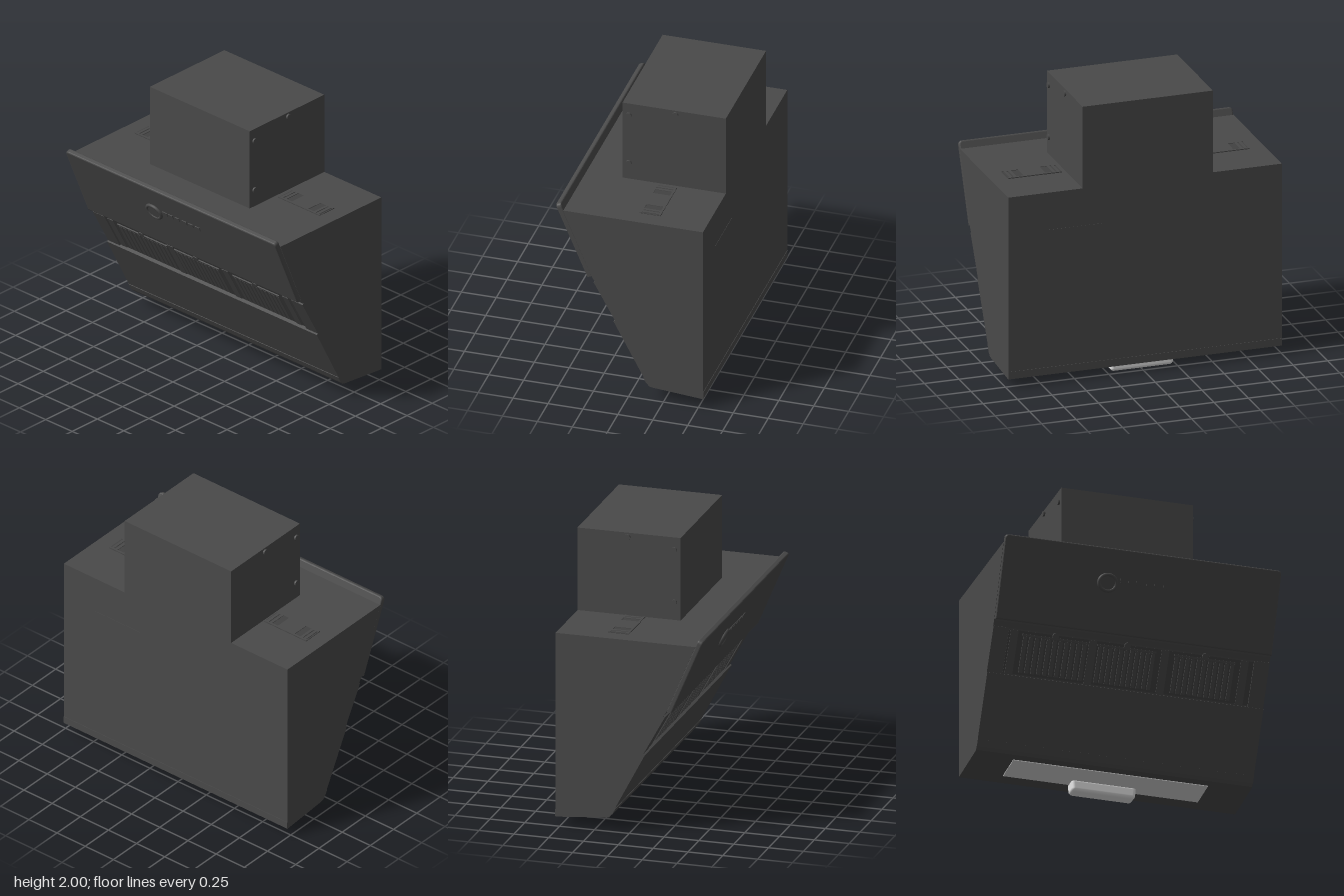
import * as THREE from 'three';
import { RoundedBoxGeometry } from 'three/addons/geometries/RoundedBoxGeometry.js';

const mat = (name, color) => {
  const m = new THREE.MeshStandardMaterial({ color });
  m.name = name;
  return m;
};

export function createModel() {
  const hood = new THREE.Group();
  hood.name = 'rangeHood';
  const shell = mat('charcoalShell', 0x4a4a4a);
  const dark = mat('darkFilter', 0x424242);
  const cupWhite = mat('whiteCup', 0xf0f0f0);
  const stripGrey = mat('paleLightStrip', 0xd8d8d8);

  const add = (parent, name, geometry, material, x = 0, y = 0, z = 0) => {
    const mesh = new THREE.Mesh(geometry, material);
    mesh.name = name;
    mesh.position.set(x, y, z);
    parent.add(mesh);
    return mesh;
  };
  const box = (parent, name, material, size, pos) =>
    add(parent, name, new THREE.BoxGeometry(...size), material, ...pos);
  // Group lying on a sloping face that runs from (z0, y0) up to (z1, y1)
  const slope = (name, z0, y0, z1, y1) => {
    const g = new THREE.Group();
    g.name = name;
    g.position.set(0, y0, z0);
    g.rotation.x = Math.atan2(z1 - z0, y1 - y0);
    hood.add(g);
    return g;
  };

  // Body: side profile (z, y) swept across the width
  const profile = [
    [-0.53, 0.07], [-0.17, 0.10], [-0.145, 0.105], [-0.13, 0.125], [0.11, 0.58],
    [0.088, 0.592], [0.243, 0.875], [0.263, 0.905], [0.472, 1.402], [-0.53, 1.402],
  ];
  const side = new THREE.Shape(profile.map(p => new THREE.Vector2(...p)));
  const bodyGeo = new THREE.ExtrudeGeometry(side, { depth: 1.985, bevelEnabled: false });
  bodyGeo.rotateY(-Math.PI / 2).translate(0.99, 0, 0);
  add(hood, 'body', bodyGeo, shell);

  // Upper front panel with rounded edges and top corners
  const upper = slope('upperFront', 0.30, 0.90, 0.527, 1.435);
  const L = 0.585, r = 0.03;
  const plate = new THREE.Shape();
  plate.moveTo(-0.995, 0);
  plate.lineTo(0.99, 0);
  plate.lineTo(0.99, L - r);
  plate.quadraticCurveTo(0.99, L, 0.99 - r, L);
  plate.lineTo(-0.995 + r, L);
  plate.quadraticCurveTo(-0.995, L, -0.995, L - r);
  const plateGeo = new THREE.ExtrudeGeometry(plate, {
    depth: 0.02, bevelThickness: 0.01, bevelSize: 0.01, bevelOffset: -0.01, bevelSegments: 3,
  });
  add(upper, 'upperPanel', plateGeo, shell, 0, 0, -0.03);

  // Control knob and row of touch buttons
  const ring = add(upper, 'knobRing', new THREE.TorusGeometry(0.062, 0.014, 10, 32), shell, -0.235, 0.345, 0.003);
  ring.scale.y = 0.9;
  const knob = add(upper, 'knob', new THREE.CylinderGeometry(0.05, 0.055, 0.016, 32), shell, -0.235, 0.345, 0.003);
  knob.rotation.x = Math.PI / 2;
  for (const x of [-0.125, -0.07, -0.01, 0.06, 0.12, 0.185]) {
    box(upper, 'button', shell, [0.04, 0.03, 0.008], [x, 0.37, 0.002]);
  }

  // Filter bay: frame plates, vertical slats and clips
  const bay = slope('filterBay', 0.088, 0.592, 0.243, 0.875);
  box(bay, 'filterBack', dark, [1.76, 0.30, 0.006], [0, 0.16, 0]);
  for (const [x0, x1] of [[-0.78, -0.31], [-0.24, 0.18], [0.31, 0.75]]) {
    const n = 11, step = (x1 - x0) / n, mid = (x0 + x1) / 2;
    for (let i = 0; i < n; i++) {
      box(bay, 'slat', shell, [step * 0.65, 0.25, 0.012], [x0 + step * (i + 0.5), 0.15, 0.006]);
    }
    box(bay, 'slatTopRail', shell, [x1 - x0, 0.014, 0.012], [mid, 0.285, 0.006]);
    const clip = add(bay, 'clip', new THREE.CylinderGeometry(0.022, 0.022, 0.018, 16), shell, mid, 0.305, 0.008);
    clip.rotation.x = Math.PI / 2;
  }
  for (const x of [-0.84, -0.275, 0.245, 0.815]) {
    box(bay, 'frameBar', shell, [0.055, 0.3, 0.01], [x, 0.16, 0.004]);
  }
  for (const x of [-0.94, 0.935]) box(bay, 'sideFrame', shell, [0.11, 0.32, 0.012], [x, 0.16, 0.006]);

  // Trim strip on the lower panel, ledge and plate on the back
  const lower = slope('lowerFront', -0.13, 0.125, 0.11, 0.58);
  box(lower, 'trimStrip', shell, [1.985, 0.05, 0.008], [-0.0025, 0.027, 0]);
  box(hood, 'backLedge', shell, [1.985, 0.05, 0.008], [-0.0025, 0.1, -0.529]);
  box(hood, 'backPlate', shell, [0.40, 0.26, 0.006], [0.51, 1.0, -0.529]);

  // Chimney and its side screws
  box(hood, 'chimney', shell, [0.945, 0.602, 0.74], [-0.0225, 1.699, -0.16]);
  for (const x of [-0.497, 0.452]) {
    for (const [y, z] of [[1.91, 0.165], [1.53, 0.165], [1.97, -0.17]]) {
      const screw = add(hood, 'screw', new THREE.CylinderGeometry(0.02, 0.02, 0.022, 14), shell, x, y, z);
      screw.rotation.z = Math.PI / 2;
    }
  }

  // Vents on top, either side of the chimney
  for (const [x0, x1] of [[-0.88, -0.505], [0.48, 0.87]]) {
    const mid = (x0 + x1) / 2, w = x1 - x0;
    box(hood, 'ventPlate', dark, [w, 0.006, 0.15], [mid, 1.402, -0.115]);
    for (const z of [-0.182, -0.048]) box(hood, 'ventRail', shell, [w, 0.009, 0.014], [mid, 1.404, z]);
    for (const f of [0.06, 0.14, 0.5, 0.86, 0.94]) {
      box(hood, 'ventBar', shell, [f === 0.5 ? w * 0.4 : 0.02, 0.009, 0.13], [x0 + w * f, 1.404, -0.115]);
    }
  }

  // Underside light strip and oil cup
  const strip = box(hood, 'lightStrip', stripGrey, [1.40, 0.008, 0.23], [-0.01, 0.0865, -0.315]);
  strip.rotation.x = -Math.atan2(0.03, 0.36);
  const cupGeo = new RoundedBoxGeometry(0.47, 0.09, 0.12, 4, 0.025);
  const pos = cupGeo.attributes.position;
  for (let i = 0; i < pos.count; i++) {
    const t = (1 - pos.getY(i) / 0.045) / 2;
    pos.setX(i, pos.getX(i) * (1 - 0.04 * t));
    pos.setZ(i, pos.getZ(i) * (1 - 0.14 * t));
  }
  add(hood, 'oilCup', cupGeo, cupWhite, -0.005, 0.05, -0.415);
  return hood;
}
